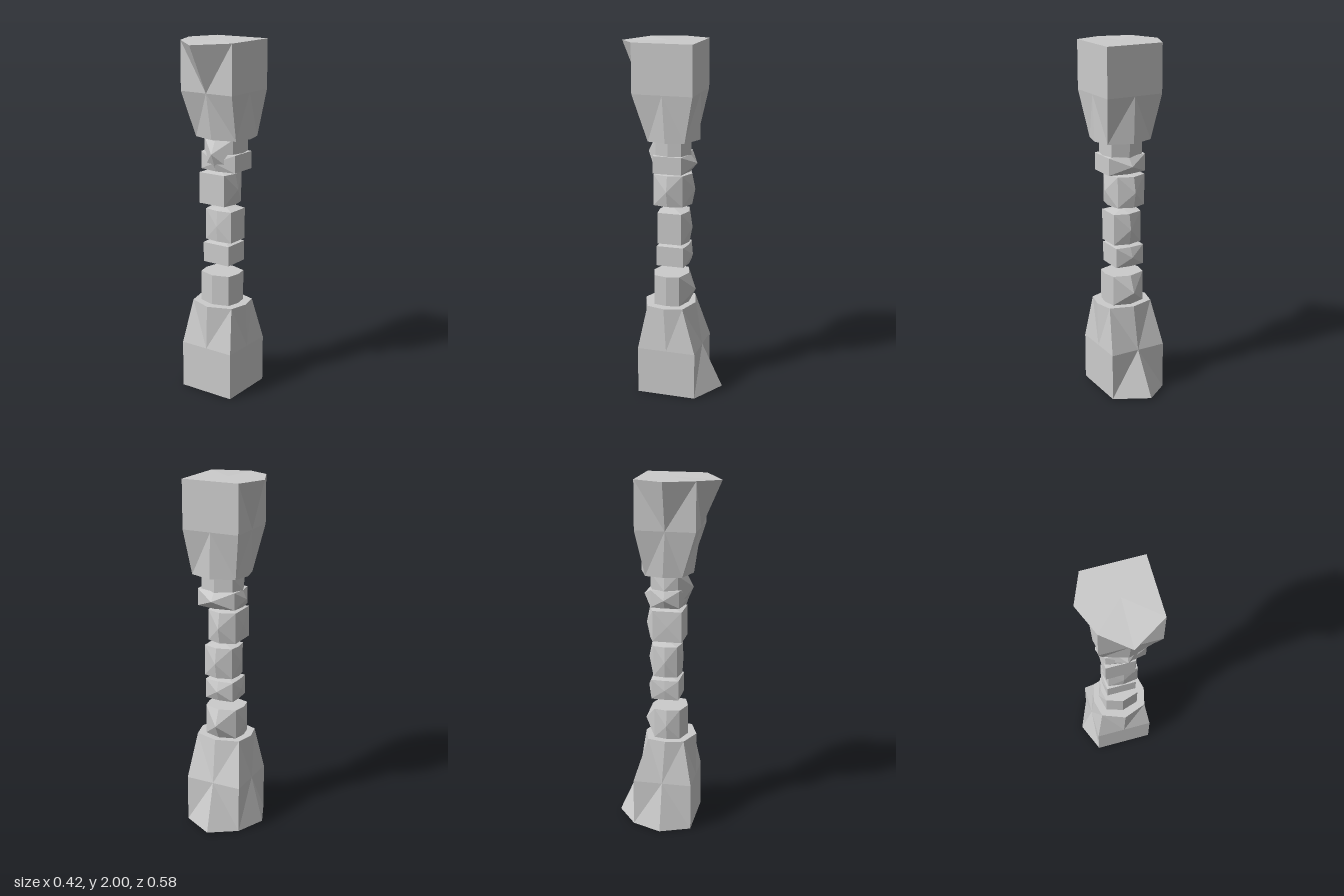
import * as THREE from 'three';

const material = new THREE.MeshStandardMaterial({ color: 0xcccccc, flatShading: true });

// Eight-point ring: four corners, plus side points pushed out [right, back, left, front]
function ring(y, [x0, x1, z0, z1], push = [0, 0, 0, 0]) {
  const cx = (x0 + x1) / 2, cz = (z0 + z1) / 2;
  return [
    [x1 + push[0], y, cz], [x1, y, z0],
    [cx, y, z0 - push[1]], [x0, y, z0],
    [x0 - push[2], y, cz], [x0, y, z1],
    [cx, y, z1 + push[3]], [x1, y, z1],
  ];
}

// Faceted rock from bottom, middle and top rings, with slightly domed ends
function rock(name, rings, dome = 0) {
  const pos = [];
  const tri = (a, b, c) => pos.push(...a, ...b, ...c);
  const centre = (r, dy) => {
    const c = [0, 1, 2].map((k) => r.reduce((s, p) => s + p[k], 0) / 8);
    c[1] += dy;
    return c;
  };
  for (let k = 0; k < 2; k++) {
    const lo = rings[k], hi = rings[k + 1];
    for (let i = 0; i < 8; i++) {
      const j = (i + 1) % 8;
      // Diagonals fan out from the side points of the middle ring
      if ((i % 2 === 0) === (k === 1)) {
        tri(lo[i], lo[j], hi[j]);
        tri(lo[i], hi[j], hi[i]);
      } else {
        tri(lo[i], lo[j], hi[i]);
        tri(lo[j], hi[j], hi[i]);
      }
    }
  }
  const bottom = rings[0], top = rings[2];
  const cb = centre(bottom, -dome), ct = centre(top, dome);
  for (let i = 0; i < 8; i++) {
    const j = (i + 1) % 8;
    tri(top[i], top[j], ct);
    tri(bottom[j], bottom[i], cb);
  }
  const geometry = new THREE.BufferGeometry();
  geometry.setAttribute('position', new THREE.Float32BufferAttribute(pos, 3));
  geometry.computeVertexNormals();
  const mesh = new THREE.Mesh(geometry, material);
  mesh.name = name;
  return mesh;
}

// Large end block with a narrower neck stone
function pillarEnd(name) {
  const group = new THREE.Group();
  group.name = name;
  const box = [-0.14, 0.192, -0.175, 0.16];
  const foot = ring(0, box, [0, 0.115, 0.07, 0]);
  foot[2][0] = 0.005;
  foot[2][1] = 0.01;
  group.add(rock(name + 'Block', [
    foot,
    ring(0.27, box),
    ring(0.525, [-0.1, 0.165, -0.095, 0.11], [0.025, 0.04, 0.025, 0.05]),
  ]));
  const neck = [-0.065, 0.125, -0.065, 0.08];
  const side = [0.015, 0.03, 0.015, 0.03];
  group.add(rock(name + 'Neck', [
    ring(0.525, neck, side),
    ring(0.605, neck, [0.015, 0.07, 0.028, 0.03]),
    ring(0.698, neck, side),
  ]));
  return group;
}

// Loose stones: bottom, top, corner bounds, side bulge at the ends and at the middle
const stones = [
  [0.755, 0.868, [-0.055, 0.115, -0.085, 0.07], [0, 0.01, 0.005, 0], [0, 0.032, 0.015, 0]],
  [0.888, 1.065, [-0.045, 0.125, -0.075, 0.06], [0, 0.025, 0.012, 0.012], [0, 0.042, 0.025, 0.02]],
  [1.1, 1.275, [-0.068, 0.1, -0.075, 0.09], [0.018, 0.032, 0, 0], [0.036, 0.05, 0.006, 0]],
  [1.295, 1.392, [-0.065, 0.16, -0.085, 0.075], [0, 0.02, 0.012, 0.02], [0, 0.06, 0.035, 0.035]],
];

export function createModel() {
  const model = new THREE.Group();
  model.name = 'stonePillar';

  const base = pillarEnd('base');
  model.add(base);

  // Capital is the base turned upside down
  const capital = pillarEnd('capital');
  capital.rotation.x = Math.PI;
  capital.position.set(0.015, 2, 0);
  model.add(capital);

  stones.forEach(([y0, y1, box, ends, middle], i) => {
    model.add(rock('stone' + (i + 1), [
      ring(y0, box, ends),
      ring((y0 + y1) / 2, box, middle),
      ring(y1, box, ends),
    ], 0.012));
  });
  return model;
}
